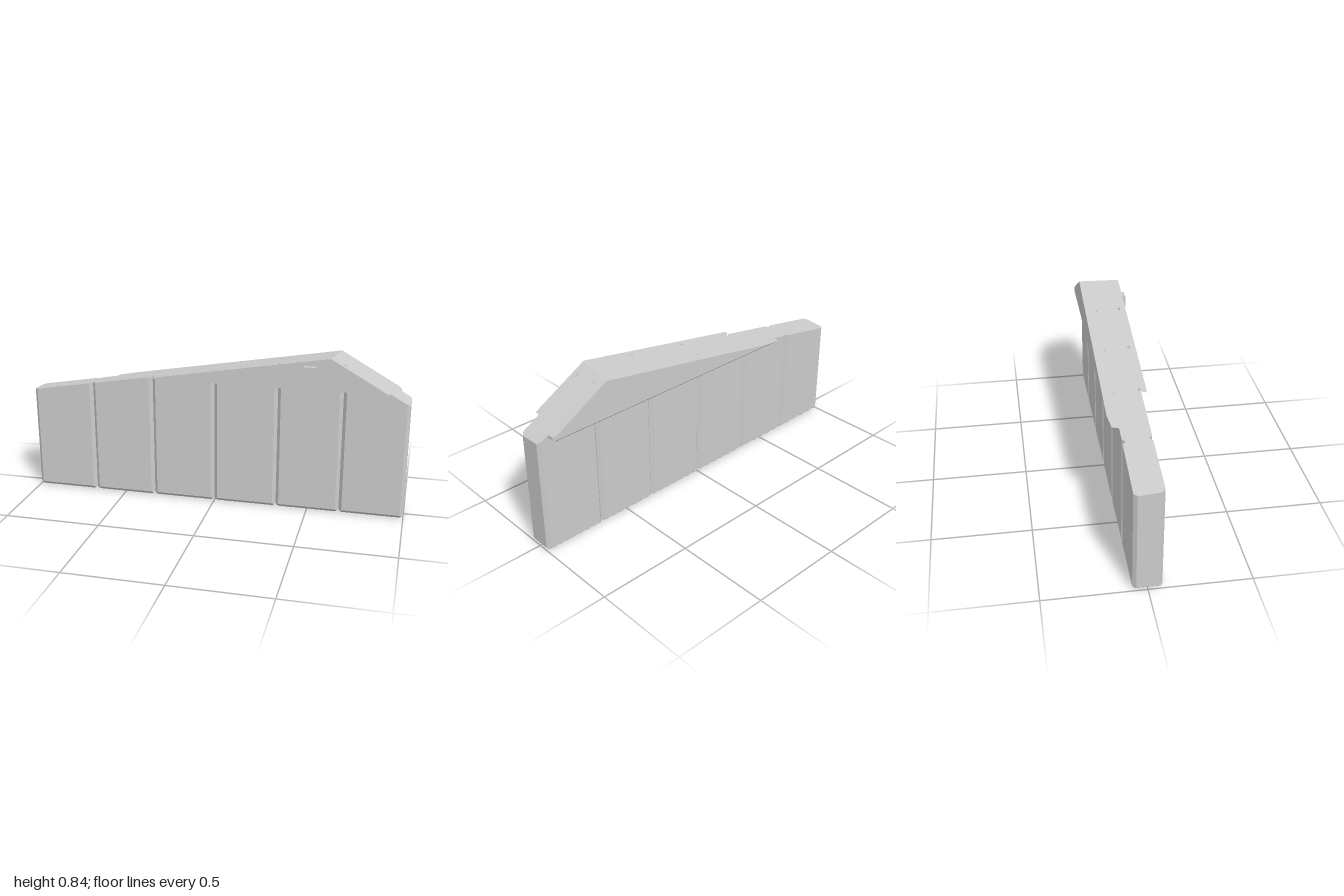
import * as THREE from 'three';

// Each half-space is [nx, ny, nz, d] and keeps the points with n·p <= d.
// The two roof slopes meet in a slightly skewed ridge.
const RIDGE = { x: 0.6, y: 0.836, z: 0.098 };
function slope(sx, sz) {
  return [-sx, 1, -sz, RIDGE.y - sx * RIDGE.x - sz * RIDGE.z];
}
const ROOF = [slope(0.173, 0.074), slope(-0.57, -0.04)];

function boxSpaces(x0, x1, y0, y1, z0, z1) {
  return [
    [1, 0, 0, x1], [-1, 0, 0, -x0], [0, 1, 0, y1],
    [0, -1, 0, -y0], [0, 0, 1, z1], [0, 0, -1, -z0],
  ];
}

// 45 degree bevel between two half-spaces
function bevel(a, b, c) {
  return [a[0] + b[0], a[1] + b[1], a[2] + b[2], a[3] + b[3] - c];
}

// Flat-sided convex solid bounded by half-spaces
function solid(spaces) {
  const planes = spaces.map(([x, y, z, d]) => {
    const n = new THREE.Vector3(x, y, z);
    const l = n.length();
    return { n: n.divideScalar(l), d: d / l };
  });
  const corners = [];
  const m = new THREE.Matrix3();
  for (let i = 0; i < planes.length; i++)
    for (let j = i + 1; j < planes.length; j++)
      for (let k = j + 1; k < planes.length; k++) {
        const [a, b, c] = [planes[i], planes[j], planes[k]];
        m.set(a.n.x, a.n.y, a.n.z, b.n.x, b.n.y, b.n.z, c.n.x, c.n.y, c.n.z);
        if (Math.abs(m.determinant()) < 1e-4) continue;
        const p = new THREE.Vector3(a.d, b.d, c.d).applyMatrix3(m.invert());
        if (planes.every((q) => q.n.dot(p) <= q.d + 1e-6) &&
            corners.every((q) => q.distanceTo(p) > 1e-5)) corners.push(p);
      }
  const pos = [];
  for (const { n, d } of planes) {
    const face = corners.filter((p) => Math.abs(n.dot(p) - d) < 1e-5);
    if (face.length < 3) continue;
    const mid = new THREE.Vector3();
    face.forEach((p) => mid.addScaledVector(p, 1 / face.length));
    const u = face[0].clone().sub(mid).normalize();
    const v = n.clone().cross(u);
    const angle = (p) => {
      const r = p.clone().sub(mid);
      return Math.atan2(r.dot(v), r.dot(u));
    };
    face.sort((p, q) => angle(p) - angle(q));
    for (let i = 1; i < face.length - 1; i++)
      for (const p of [face[0], face[i], face[i + 1]]) pos.push(p.x, p.y, p.z);
  }
  const geo = new THREE.BufferGeometry();
  geo.setAttribute('position', new THREE.Float32BufferAttribute(pos, 3));
  geo.computeVertexNormals();
  return geo;
}

export function createModel() {
  const group = new THREE.Group();
  group.name = 'panelWall';
  const grey = new THREE.MeshStandardMaterial({ color: 0xcccccc });
  grey.name = 'plainGrey';
  const add = (name, geo) => {
    const mesh = new THREE.Mesh(geo, grey);
    mesh.name = name;
    group.add(mesh);
    return mesh;
  };

  // six upright panels, bevelled at the sides and the foot
  const w = 1 / 3;
  const c = 0.017;
  for (let i = 0; i < 6; i++) {
    const s = boxSpaces(-1 + i * w, -1 + (i + 1) * w, 0, 1, -0.072, 0.07);
    const [right, left, , foot, front, back] = s;
    const bevels = [];
    for (const side of [right, left])
      for (const face of [front, back]) bevels.push(bevel(side, face, c));
    for (const side of [right, left, front, back]) bevels.push(bevel(side, foot, c));
    add('panel' + (i + 1), solid([...s, ...bevels, ...ROOF]));
  }

  // plain gable slab on the front
  add('frontGable', solid([...boxSpaces(-1, 1, 0.67, 1, 0.067, 0.098), ...ROOF]));

  // thicker gable slab on the back, bevelled along its foot and right end
  const b = boxSpaces(-1, 0.945, 0.62, 1, -0.118, -0.062);
  add('backGable', solid([
    ...b,
    bevel(b[5], b[3], 0.013), bevel(b[0], b[3], 0.013), bevel(b[0], b[5], 0.013),
    ...ROOF,
  ]));

  // small square peg on the front gable
  add('peg', new THREE.BoxGeometry(0.06, 0.06, 0.03)).position.set(0.5, 0.762, 0.105);

  return group;
}
